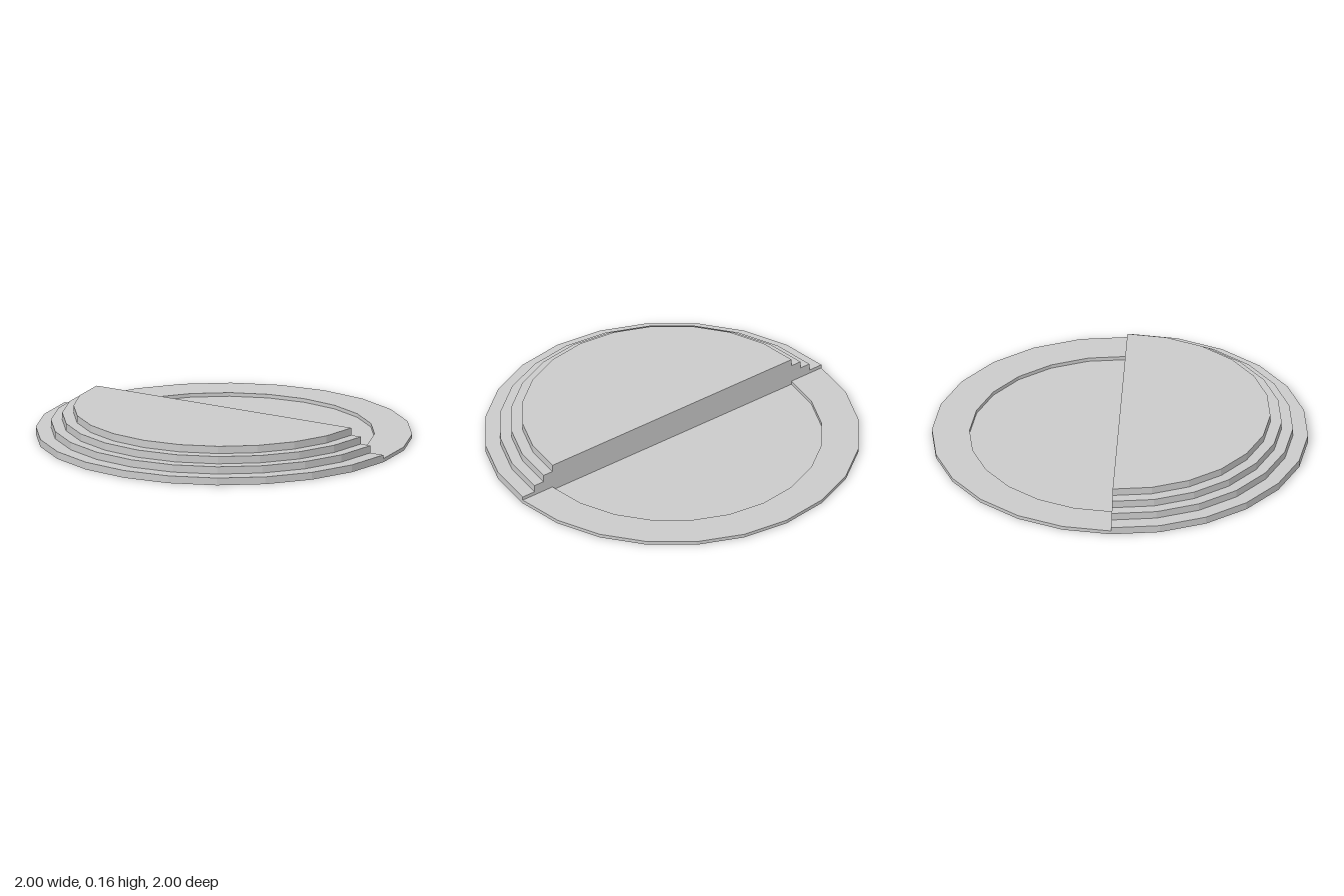
import * as THREE from 'three';

export function createModel() {
  const group = new THREE.Group();
  const material = new THREE.MeshStandardMaterial({
    color: 0xcccccc, flatShading: true, side: THREE.DoubleSide,
  });
  const start = THREE.MathUtils.degToRad(11.25); // angle of the dividing line
  const sides = 12; // facets per half circle

  const add = (name, geometry) => {
    const mesh = new THREE.Mesh(geometry, material);
    mesh.name = name;
    group.add(mesh);
    return mesh;
  };
  const halfTurn = (name, profile, from) => add(name, new THREE.LatheGeometry(
    profile.map(([r, y]) => new THREE.Vector2(r, y)), sides, from, Math.PI));

  // Low half: thin raised rim around a sunken floor
  halfTurn('lowHalf', [[1, 0], [1, 0.02], [0.8, 0.02], [0.8, 0], [0, 0]], start);

  // High half: hollow steps rising to a flat top
  const steps = [[1, 0], [1, 0.04]];
  [0.92, 0.86, 0.8].forEach((r, i) => {
    steps.push([r, 0.04 * (i + 1)], [r, 0.04 * (i + 2)]);
  });
  halfTurn('steppedHalf', [...steps, [0, 0.16]], start + Math.PI);

  // Closed inside and underside of the lowest step
  halfTurn('lowestStepUnderside', [[0.92, 0.04], [0.92, 0], [1, 0]], start + Math.PI);

  // Upright wall along the diameter, with the steps as its outline
  const outline = [...steps, ...steps.map(([r, y]) => [-r, y]).reverse()];
  const wall = add('dividingWall', new THREE.ShapeGeometry(
    new THREE.Shape(outline.map(([x, y]) => new THREE.Vector2(x, y)))));
  wall.rotation.y = start + Math.PI / 2;

  return group;
}
